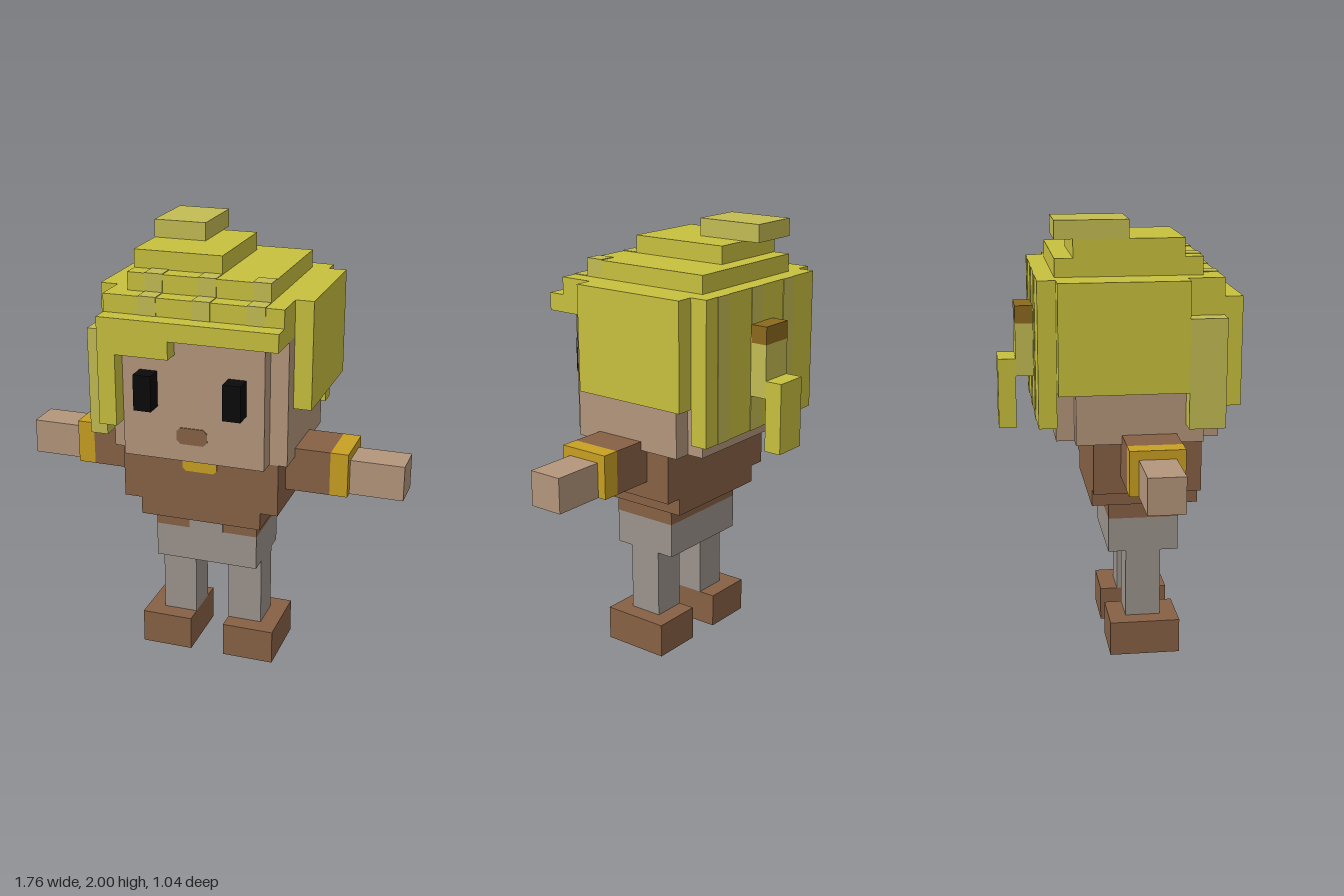
import * as THREE from 'three';

const mat = (name, color) => {
  const m = new THREE.MeshStandardMaterial({ color });
  m.name = name;
  return m;
};

export function createModel() {
  const hair = mat('yellow hair', 0xc8c03e);
  const streak = mat('pale hair', 0xc4bc54);
  const skin = mat('skin', 0xb4967c);
  const brown = mat('brown cloth', 0x876144);
  const gold = mat('gold trim', 0xc8a022);
  const grey = mat('grey trousers', 0x9c948d);
  const black = mat('black eyes', 0x0a0a0a);
  const tie = mat('hair tie', 0x8c6a1e);

  const model = new THREE.Group();
  model.name = 'blockyFigure';
  const group = (name) => {
    const g = new THREE.Group();
    g.name = name;
    model.add(g);
    return g;
  };

  // Box given by its limits on each axis
  const box = (parent, name, m, [x0, x1], [y0, y1], [z0, z1]) => {
    const mesh = new THREE.Mesh(new THREE.BoxGeometry(x1 - x0, y1 - y0, z1 - z0), m);
    mesh.position.set((x0 + x1) / 2, (y0 + y1) / 2, (z0 + z1) / 2);
    mesh.name = name;
    parent.add(mesh);
  };
  // Box on both sides of the body
  const pair = (parent, name, m, [x0, x1], y, z) => {
    box(parent, name + 'Left', m, [x0, x1], y, z);
    box(parent, name + 'Right', m, [-x1, -x0], y, z);
  };
  // Thin front-facing plate with cut corners (c below, t above)
  const plate = (parent, name, m, [x0, x1], [y0, y1], z, c, t) => {
    const s = new THREE.Shape([
      [x0 + c, y0], [x1 - c, y0], [x1, y0 + c], [x1, y1 - t],
      [x1 - t, y1], [x0 + t, y1], [x0, y1 - t], [x0, y0 + c],
    ].map(([x, y]) => new THREE.Vector2(x, y)));
    const mesh = new THREE.Mesh(
      new THREE.ExtrudeGeometry(s, { depth: 0.004, bevelEnabled: false }), m);
    mesh.position.z = z;
    mesh.name = name;
    parent.add(mesh);
  };

  // Legs and hips
  const legs = group('legs');
  pair(legs, 'shoe', brown, [0.08, 0.32], [0, 0.16], [-0.04, 0.28]);
  pair(legs, 'leg', grey, [0.08, 0.24], [0.16, 0.48], [0.04, 0.2]);
  box(legs, 'hips', grey, [-0.24, 0.24], [0.48, 0.64], [-0.04, 0.28]);
  box(legs, 'shirtHem', brown, [-0.24, 0.24], [0.64, 0.72], [-0.04, 0.28]);
  plate(legs, 'hemOpening', grey, [-0.08, 0.08], [0.64, 0.72], 0.28, 0, 0);

  // Torso
  const torso = group('torso');
  box(torso, 'waist', brown, [-0.28, 0.28], [0.72, 0.8], [-0.12, 0.36]);
  box(torso, 'chest', brown, [-0.36, 0.36], [0.8, 1.04], [-0.12, 0.36]);
  plate(torso, 'collar', gold, [-0.08, 0.08], [0.96, 1.04], 0.36, 0.015, 0);

  // Arms
  const arms = group('arms');
  pair(arms, 'sleeve', brown, [0.32, 0.56], [0.88, 1.08], [0, 0.24]);
  pair(arms, 'cuff', gold, [0.56, 0.64], [0.88, 1.08], [0, 0.24]);
  pair(arms, 'hand', skin, [0.64, 0.88], [0.88, 1.04], [0.04, 0.2]);

  // Head and face
  const head = group('head');
  box(head, 'face', skin, [-0.32, 0.32], [1.04, 1.6], [-0.28, 0.44]);
  pair(head, 'cheek', skin, [0.32, 0.4], [1.04, 1.6], [-0.2, 0.36]);
  pair(head, 'eye', black, [0.16, 0.24], [1.28, 1.44], [0.44, 0.52]);
  plate(head, 'mouth', brown, [-0.075, 0.065], [1.12, 1.195], 0.44, 0.018, 0.018);

  // Hair cap, sides, fringe and stacked bun
  const h = group('hair');
  box(h, 'cap', hair, [-0.4, 0.4], [1.6, 1.76], [-0.28, 0.44]);
  box(h, 'backHair', hair, [-0.4, 0.4], [1.12, 1.76], [-0.36, -0.28]);
  pair(h, 'sideHair', hair, [0.4, 0.48], [1.28, 1.76], [-0.28, 0.28]);
  box(h, 'sideLock', streak, [-0.48, -0.4], [1.12, 1.6], [0.28, 0.44]);
  box(h, 'fringe', hair, [-0.4, 0.4], [1.6, 1.68], [0.44, 0.52]);
  box(h, 'fringeStep', hair, [-0.32, -0.08], [1.52, 1.6], [0.44, 0.52]);
  box(h, 'fringeLock', hair, [-0.4, -0.32], [1.2, 1.6], [0.44, 0.52]);
  box(h, 'crown', hair, [-0.32, 0.32], [1.76, 1.84], [-0.28, 0.36]);
  box(h, 'upperCrown', hair, [-0.32, 0.08], [1.84, 1.92], [-0.2, 0.28]);
  box(h, 'topTuft', streak, [-0.32, -0.08], [1.92, 2], [-0.28, 0.04]);

  // Pale streaks on the front steps and the back
  for (const x of [-0.24, 0, 0.24]) {
    const w = [x, x + 0.08];
    const e = 0.003;
    box(h, 'capStreak', streak, w, [1.68, 1.76 + e], [0.36, 0.44 + e]);
    box(h, 'crownStreak', streak, w, [1.76, 1.84 + e], [0.28, 0.36 + e]);
    box(h, 'backStreak', streak, w, [1.12, 1.76], [-0.36 - e, -0.35]);
  }

  // Ponytail
  const tail = group('ponytail');
  box(tail, 'hairTie', tie, [-0.08, 0.08], [1.52, 1.6], [-0.44, -0.36]);
  box(tail, 'tailRoot', streak, [-0.08, 0.08], [1.28, 1.52], [-0.44, -0.36]);
  box(tail, 'tailTip', hair, [-0.08, 0.08], [1.04, 1.36], [-0.52, -0.44]);

  return model;
}
